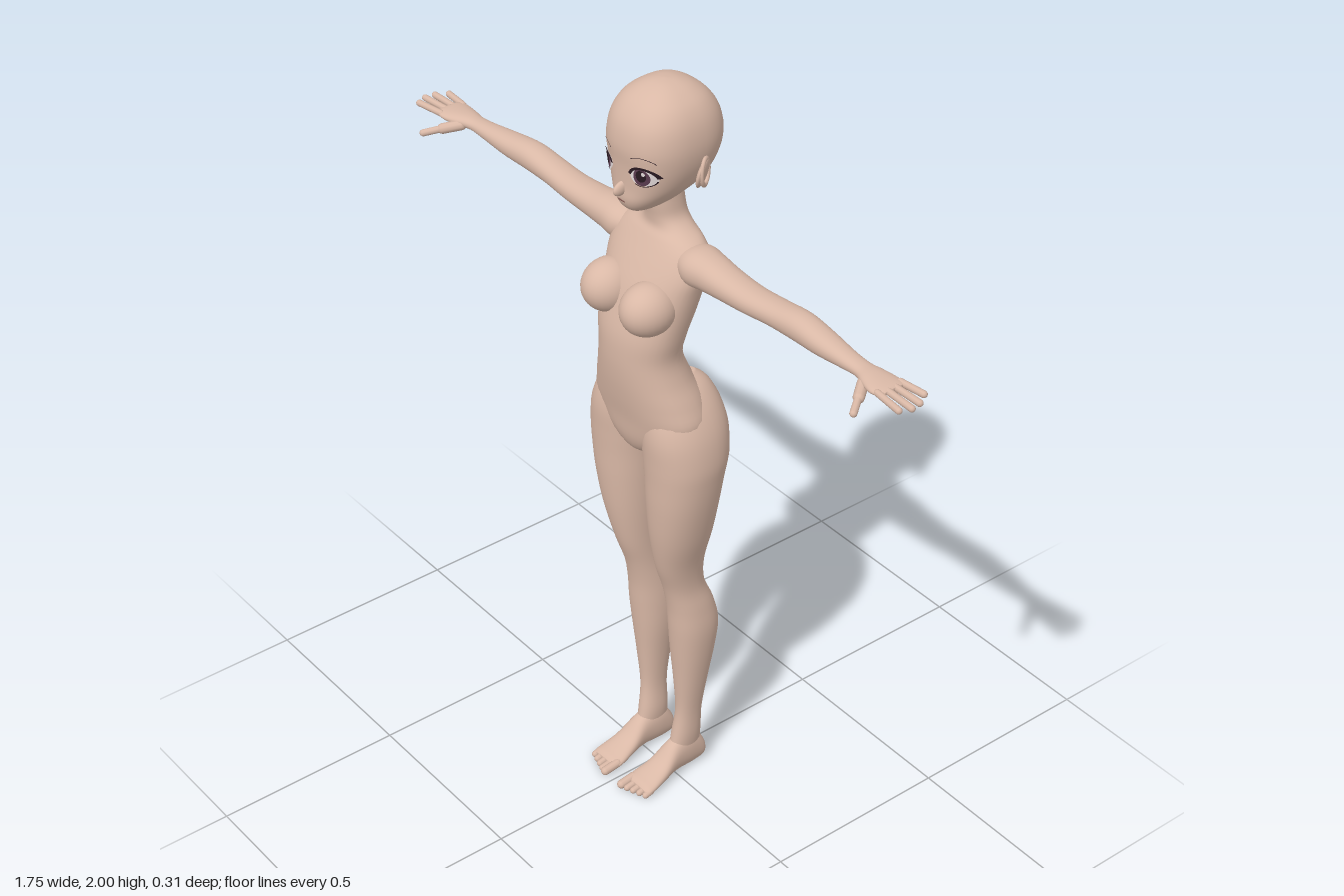
import * as THREE from 'three';

const mat = (name, color) => {
  const m = new THREE.MeshStandardMaterial({ color });
  m.name = name;
  return m;
};

// Catmull-Rom sample of a table of cross-sections, t in row units
function sample(rows, t) {
  const n = rows.length - 1, i = Math.min(Math.floor(t), n - 1), f = t - i;
  const [a, b, c, d] = [-1, 0, 1, 2].map(k => rows[Math.min(n, Math.max(0, i + k))]);
  return b.map((_, k) => b[k] + 0.5 * f * (c[k] - a[k] + f * (2 * a[k] - 5 * b[k] + 4 * c[k] - d[k]
    + f * (3 * (b[k] - c[k]) + d[k] - a[k]))));
}

// Skin over sections [u, a0, a1, b0, b1]; place(u, a, b) returns [x, y, z]
function loft(rows, place, power = 2.15, steps = 5, sides = 36) {
  const pos = [], idx = [], rings = (rows.length - 1) * steps;
  const bulge = v => Math.sign(v) * Math.abs(v) ** (2 / power);
  for (let i = 0; i <= rings; i++) {
    const [u, a0, a1, b0, b1] = sample(rows, i / steps);
    for (let j = 0; j < sides; j++) {
      const t = j / sides * Math.PI * 2;
      pos.push(...place(u, (a0 + a1) / 2 + (a1 - a0) / 2 * bulge(Math.cos(t)),
        (b0 + b1) / 2 + (b1 - b0) / 2 * bulge(Math.sin(t))));
    }
  }
  for (let i = 0; i < rings; i++) for (let j = 0; j < sides; j++) {
    const p = i * sides + j, p1 = i * sides + (j + 1) % sides, q = p + sides, q1 = p1 + sides;
    idx.push(p, p1, q1, p, q1, q);
  }
  // end caps
  [rows[0], rows[rows.length - 1]].forEach(([u, a0, a1, b0, b1], e) => {
    const c = pos.length / 3, base = e * rings * sides;
    pos.push(...place(u, (a0 + a1) / 2, (b0 + b1) / 2));
    for (let j = 0; j < sides; j++) {
      const p = base + j, p1 = base + (j + 1) % sides;
      idx.push(...(e ? [c, p, p1] : [c, p1, p]));
    }
  });
  const g = new THREE.BufferGeometry();
  g.setAttribute('position', new THREE.Float32BufferAttribute(pos, 3));
  g.setIndex(idx);
  g.computeVertexNormals();
  return g;
}
const upright = (y, x, z) => [x, y, z];
const sideways = (x, y, z) => [x, y, z];
const forward = (z, x, y) => [x, y, z];
const centred = ([y, x, zb, zf]) => [y, -x, x, zb, zf];

// Head sections: y, half width, back z, front z
const HEAD_POWER = 2.4;
const headRows = [
  [2.0, 0.004, -0.027, -0.019], [1.996, 0.03, -0.055, 0.008], [1.983, 0.06, -0.088, 0.04],
  [1.958, 0.09, -0.12, 0.072], [1.92, 0.11, -0.144, 0.096], [1.87, 0.118, -0.153, 0.106],
  [1.82, 0.112, -0.142, 0.103], [1.77, 0.093, -0.113, 0.102], [1.735, 0.068, -0.072, 0.103],
  [1.71, 0.043, -0.035, 0.093], [1.694, 0.018, 0.0, 0.072],
].map(centred);

// Depth of the face surface at x, y
function faceZ(x, y) {
  let lo = 0, hi = headRows.length - 1;
  for (let k = 0; k < 24; k++) {
    const mid = (lo + hi) / 2;
    if (sample(headRows, mid)[0] > y) lo = mid; else hi = mid;
  }
  const [, , rx, zb, zf] = sample(headRows, lo);
  const k = Math.max(0, 1 - Math.abs(x / rx) ** HEAD_POWER);
  return (zb + zf) / 2 + (zf - zb) / 2 * k ** (1 / HEAD_POWER);
}

// Thin painted patch lying on the face
function facePatch(cx, cy, rx, ry, lift, inner = 0, start = 0, sweep = Math.PI * 2) {
  const g = new THREE.RingGeometry(inner, 1, 28, 4, start, sweep), p = g.attributes.position;
  for (let i = 0; i < p.count; i++) {
    const x = cx + p.getX(i) * rx, y = cy + p.getY(i) * ry;
    p.setXYZ(i, x, y, faceZ(x, y) + lift);
  }
  g.computeVertexNormals();
  return g;
}

function add(parent, name, geometry, material) {
  const m = new THREE.Mesh(geometry, material);
  m.name = name;
  parent.add(m);
  return m;
}

function ellipsoid(parent, name, material, centre, radii) {
  const m = add(parent, name, new THREE.SphereGeometry(1, 28, 20), material);
  m.position.set(...centre);
  m.scale.set(...radii);
  return m;
}

// Rounded digit between two points
function digit(parent, name, material, from, to, r) {
  const a = new THREE.Vector3(...from), b = new THREE.Vector3(...to), d = b.clone().sub(a);
  const m = add(parent, name, new THREE.CapsuleGeometry(r, d.length() - r, 5, 10), material);
  m.position.copy(a).add(b).multiplyScalar(0.5);
  m.quaternion.setFromUnitVectors(new THREE.Vector3(0, 1, 0), d.normalize());
}

function buildSide(skin, white, iris, dark) {
  const g = new THREE.Group();

  // leg, with hip at its top: y, inner x, outer x, back z, front z
  add(g, 'leg', loft([
    [1.25, 0.06, 0.09, -0.05, 0.02], [1.22, 0.03, 0.125, -0.083, 0.06], [1.17, 0.008, 0.16, -0.106, 0.088],
    [1.11, 0.002, 0.184, -0.117, 0.099], [1.04, 0.003, 0.194, -0.114, 0.097], [0.98, 0.009, 0.19, -0.102, 0.094],
    [0.9, 0.014, 0.178, -0.093, 0.09], [0.8, 0.02, 0.156, -0.085, 0.079], [0.7, 0.027, 0.128, -0.074, 0.058],
    [0.62, 0.029, 0.118, -0.079, 0.032], [0.55, 0.025, 0.126, -0.106, 0.018], [0.48, 0.022, 0.131, -0.121, 0.012],
    [0.4, 0.025, 0.124, -0.114, 0.005], [0.3, 0.036, 0.11, -0.098, -0.004], [0.2, 0.043, 0.097, -0.085, -0.01],
    [0.12, 0.038, 0.094, -0.085, 0.0], [0.07, 0.042, 0.088, -0.085, 0.01],
  ], upright), skin);

  // foot: z, inner x, outer x, bottom y, top y
  add(g, 'foot', loft([
    [-0.1, 0.055, 0.072, 0.025, 0.045], [-0.092, 0.042, 0.085, 0.009, 0.075], [-0.055, 0.037, 0.091, 0.004, 0.115],
    [0.0, 0.036, 0.095, 0.008, 0.104], [0.05, 0.029, 0.104, 0.008, 0.06], [0.09, 0.022, 0.11, 0.004, 0.039],
    [0.112, 0.022, 0.111, 0.004, 0.03], [0.122, 0.03, 0.104, 0.009, 0.022],
  ], forward), skin);
  for (let i = 0; i < 5; i++) {
    const x = 0.033 + i * 0.0175, r = i ? 0.0085 : 0.0115;
    digit(g, 'toe', skin, [x, r + 0.008, 0.1], [x, r + 0.002, 0.151 - i * 0.006], r);
  }

  // arm and palm: x, bottom y, top y, back z, front z
  add(g, 'arm', loft([
    [0.07, 1.56, 1.6, -0.06, 0.01], [0.125, 1.528, 1.619, -0.075, 0.036], [0.18, 1.532, 1.618, -0.067, 0.033],
    [0.24, 1.537, 1.61, -0.061, 0.029], [0.32, 1.543, 1.606, -0.056, 0.026], [0.4, 1.55, 1.611, -0.055, 0.022],
    [0.48, 1.552, 1.62, -0.053, 0.022], [0.56, 1.557, 1.614, -0.045, 0.024], [0.64, 1.567, 1.607, -0.031, 0.022],
    [0.69, 1.572, 1.603, -0.027, 0.022], [0.725, 1.572, 1.604, -0.032, 0.036], [0.76, 1.577, 1.603, -0.035, 0.047],
    [0.785, 1.583, 1.601, -0.033, 0.046], [0.795, 1.588, 1.597, -0.025, 0.038],
  ], sideways), skin);
  [[-0.027, -0.034, 0.85], [-0.006, -0.004, 0.868], [0.016, 0.023, 0.872], [0.038, 0.05, 0.86]].forEach(
    ([z0, z1, x]) => digit(g, 'finger', skin, [0.775, 1.592, z0], [x, 1.592, z1], 0.0085));
  digit(g, 'thumb', skin, [0.715, 1.582, 0.018], [0.75, 1.571, 0.066], 0.0135);
  digit(g, 'thumb', skin, [0.745, 1.573, 0.06], [0.775, 1.562, 0.104], 0.009);

  // chest and ear
  ellipsoid(g, 'chest', skin, [0.07, 1.467, 0.083], [0.063, 0.066, 0.073]);
  ellipsoid(g, 'ear', skin, [0.117, 1.803, -0.036], [0.009, 0.038, 0.027]).rotation.set(-0.15, 0.5, -0.15);
  const rim = add(g, 'earRim', new THREE.TorusGeometry(0.024, 0.005, 8, 24), skin);
  rim.position.set(0.121, 1.806, -0.04);
  rim.scale.set(0.9, 1.35, 1);
  rim.rotation.set(0, Math.PI / 2 + 0.5, 0);

  // eye, painted in layers
  add(g, 'eyeWhite', facePatch(0.06, 1.812, 0.029, 0.022, 0.002), white);
  add(g, 'iris', facePatch(0.058, 1.812, 0.018, 0.022, 0.003), iris);
  add(g, 'pupil', facePatch(0.058, 1.815, 0.011, 0.015, 0.004), dark);
  add(g, 'eyeGlint', facePatch(0.064, 1.822, 0.004, 0.005, 0.005), white);
  add(g, 'upperLash', facePatch(0.061, 1.81, 0.034, 0.029, 0.0045, 0.78, 0.1, Math.PI - 0.3), dark);
  add(g, 'lowerLash', facePatch(0.061, 1.812, 0.029, 0.024, 0.0045, 0.92, Math.PI * 1.3, Math.PI * 0.6), dark);
  add(g, 'brow', facePatch(0.06, 1.835, 0.036, 0.028, 0.002, 0.95, 0.6, 1.8), dark);
  return g;
}

export function createModel() {
  const skin = mat('skin', 0xd9b8a6), white = mat('eyeWhite', 0xeee4e4);
  const iris = mat('iris', 0x5c3c50), dark = mat('lash', 0x2a1a22), lip = mat('lip', 0x8f5f58);
  const model = new THREE.Group();
  model.name = 'figure';

  // torso and neck: y, half width, back z, front z
  add(model, 'torso', loft([
    [1.76, 0.04, -0.064, 0.028], [1.7, 0.043, -0.07, 0.026], [1.66, 0.05, -0.075, 0.02],
    [1.635, 0.075, -0.079, 0.02], [1.615, 0.115, -0.083, 0.032], [1.59, 0.142, -0.087, 0.047],
    [1.55, 0.149, -0.087, 0.07], [1.5, 0.14, -0.08, 0.095], [1.44, 0.13, -0.065, 0.115],
    [1.38, 0.12, -0.045, 0.13], [1.32, 0.112, -0.034, 0.133], [1.26, 0.127, -0.052, 0.129],
    [1.2, 0.152, -0.078, 0.12], [1.14, 0.166, -0.08, 0.108], [1.08, 0.125, -0.065, 0.098],
    [1.04, 0.065, -0.045, 0.08], [1.02, 0.02, -0.02, 0.05],
  ].map(centred), upright), skin);

  // head, nose and mouth
  add(model, 'head', loft(headRows, upright, HEAD_POWER, 5, 48), skin);
  ellipsoid(model, 'nose', skin, [0, 1.763, 0.103], [0.01, 0.017, 0.024]).rotation.x = 0.3;
  add(model, 'mouth', facePatch(0, 1.732, 0.014, 0.0025, 0.002), lip);

  // paired parts
  const left = buildSide(skin, white, iris, dark), right = left.clone();
  left.name = 'leftSide';
  right.name = 'rightSide';
  right.scale.x = -1;
  model.add(left, right);

  // slight turn of the whole pose
  model.rotation.y = 0.025;
  return model;
}
